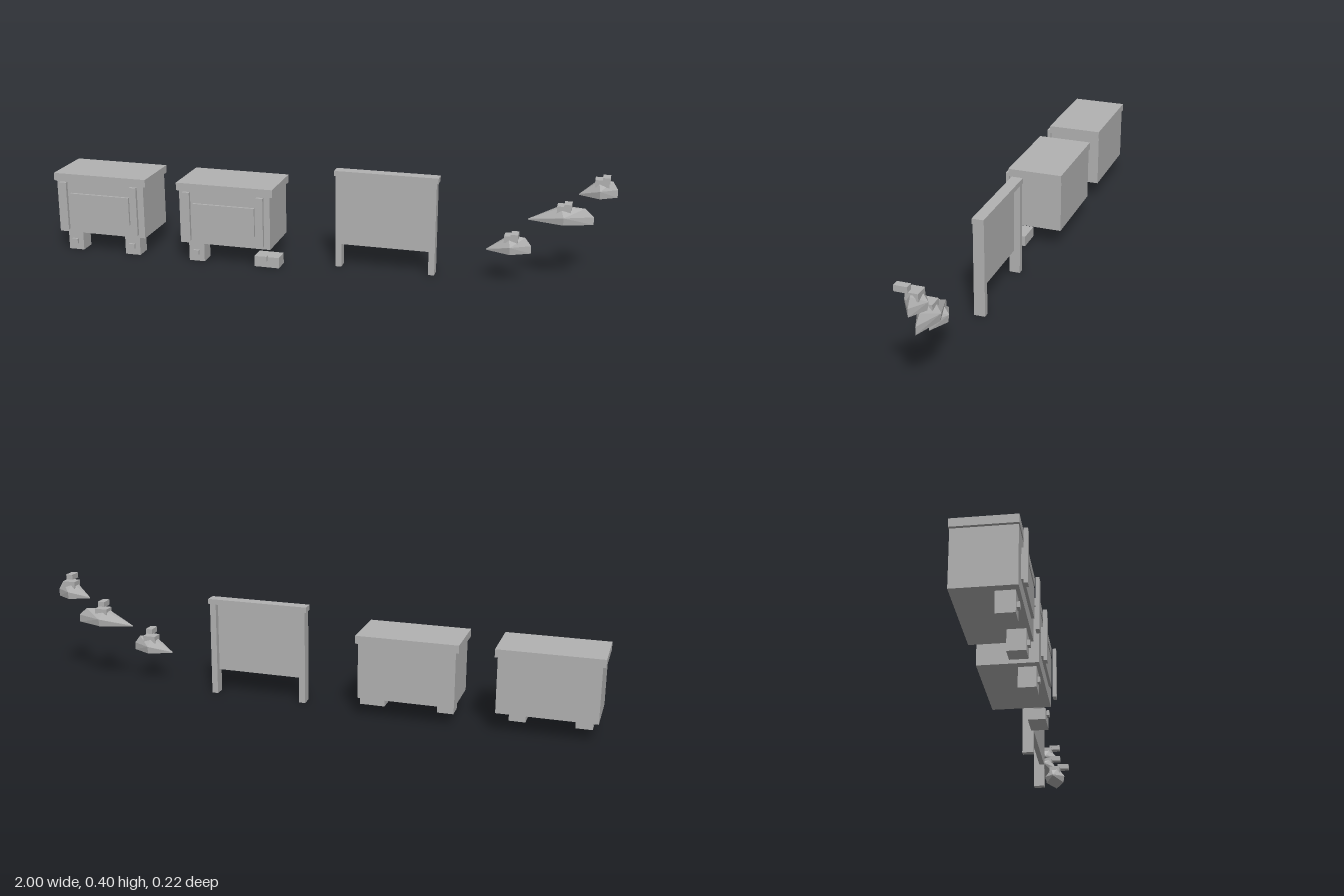
import * as THREE from 'three';
import { ConvexGeometry } from 'three/addons/geometries/ConvexGeometry.js';

const grey = new THREE.MeshStandardMaterial({ color: 0xb2b2b2 });
grey.name = 'plain grey';

// Box given by its low and high limits on each axis
function box(parent, name, [x0, x1], [y0, y1], [z0, z1]) {
  const mesh = new THREE.Mesh(new THREE.BoxGeometry(x1 - x0, y1 - y0, z1 - z0), grey);
  mesh.position.set((x0 + x1) / 2, (y0 + y1) / 2, (z0 + z1) / 2);
  mesh.name = name;
  parent.add(mesh);
  return mesh;
}

// Foot with a small peg on its front
function foot(parent, x, width, height, pegX) {
  box(parent, 'foot', [x, x + width], [0, height], [0.02, 0.079]);
  box(parent, 'footPeg', [pegX, pegX + 0.021], [0.025, 0.043], [0.069, 0.088]);
}

// Chest with lid, front panel and two front posts, built from x = 0 at the lid's left edge
function makeChest(name, x) {
  const chest = new THREE.Group();
  chest.name = name;
  box(chest, 'chestBody', [0.01, 0.348], [0.071, 0.267], [-0.108, 0.09]);
  box(chest, 'chestLid', [0, 0.358], [0.266, 0.294], [-0.11, 0.093]);
  box(chest, 'frontPanel', [0.063, 0.292], [0.118, 0.222], [0.089, 0.099]);
  for (const px of [0.03, 0.303]) {
    box(chest, 'frontPost', [px, px + 0.026], [0.087, 0.266], [0.101, 0.113]);
  }
  chest.position.x = x;
  return chest;
}

// Board on two legs with a top rail
function makeBoard() {
  const board = new THREE.Group();
  board.name = 'standingBoard';
  box(board, 'boardPanel', [0.042, 0.398], [0.086, 0.35], [-0.014, 0.004]);
  for (const x of [0.041, 0.377]) {
    box(board, 'boardLeg', [x, x + 0.022], [0, 0.345], [-0.035, 0.004]);
  }
  box(board, 'topRail', [0.036, 0.405], [0.336, 0.355], [-0.036, 0.005]);
  return board;
}

// Faceted floating hull with a cabin and a small block above it
function makeBoat(name, x0, x1, y, z, blockX) {
  const boat = new THREE.Group();
  boat.name = name;
  const at = (f, py, pz) => new THREE.Vector3(x0 + (x1 - x0) * f, y + py, z + pz);
  const points = [at(0, 0, 0), at(0, 0.004, 0), at(1, 0, 0), at(1, 0.027, 0), at(0.86, 0.055, 0)];
  for (const s of [-1, 1]) {
    points.push(at(0.55, 0, 0.034 * s), at(0.55, 0.027, 0.038 * s), at(0.5, 0.057, 0.014 * s));
  }
  const hull = new THREE.Mesh(new ConvexGeometry(points), grey);
  hull.name = 'hull';
  boat.add(hull);
  box(boat, 'cabin', [blockX - 0.025, blockX + 0.022], [y + 0.037, y + 0.062], [z - 0.02, z + 0.021]);
  box(boat, 'upperBlock', [blockX, blockX + 0.025], [y + 0.06, y + 0.08], [z + 0.011, z + 0.054]);
  return boat;
}

export function createModel() {
  const model = new THREE.Group();
  model.name = 'propSet';

  const first = makeChest('firstChest', -1);
  foot(first, 0.037, 0.058, 0.071, 0.054);
  foot(first, 0.263, 0.058, 0.071, 0.281);

  // Second chest has one upright foot and one lying outward
  const second = makeChest('secondChest', -0.523);
  foot(second, 0.037, 0.058, 0.071, 0.055);
  foot(second, 0.285, 0.091, 0.039, 0.312);

  model.add(first, second, makeBoard());
  model.add(makeBoat('lowBoat', 0.578, 0.73, 0.118, 0.016, 0.664));
  model.add(makeBoat('middleBoat', 0.71, 0.929, 0.222, -0.034, 0.831));
  model.add(makeBoat('highBoat', 0.874, 1, 0.32, -0.047, 0.949));
  return model;
}
